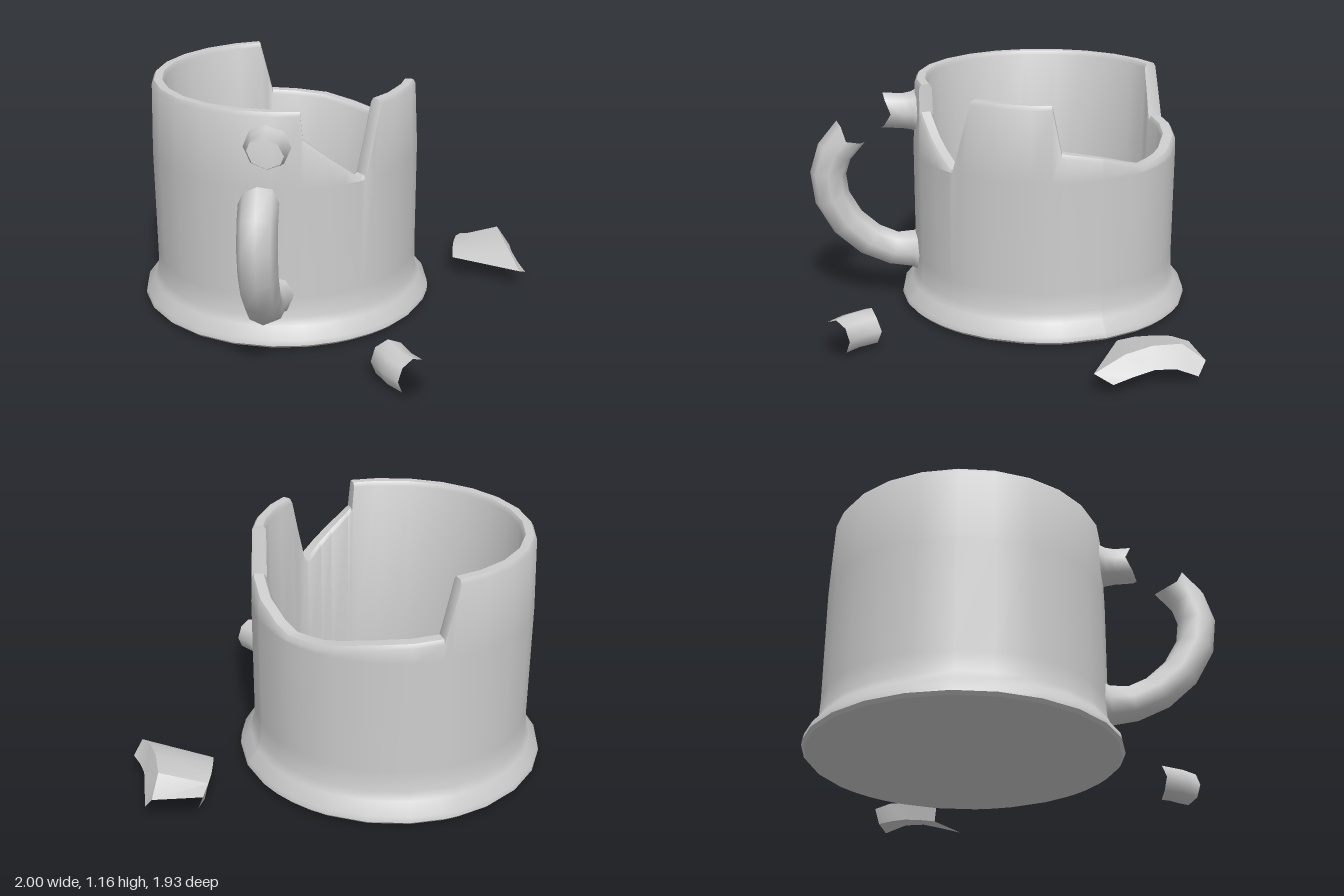
import * as THREE from 'three';
import { toCreasedNormals } from 'three/addons/utils/BufferGeometryUtils.js';

const V = (x, y, z) => new THREE.Vector3(x, y, z);
const CX = -0.26, CZ = -0.22;

// Skins closed rings of points; either joins last to first, or caps both ends.
function loft(rings, { loop = false, dents = [0, 0], crease = 0.6 } = {}) {
  const n = rings[0].length, m = rings.length, tris = [];
  for (let i = 0; i < (loop ? m : m - 1); i++) {
    const a = rings[i], b = rings[(i + 1) % m];
    for (let k = 0; k < n; k++) {
      const l = (k + 1) % n;
      tris.push([a[k], b[k], b[l]], [a[k], b[l], a[l]]);
    }
  }
  if (!loop) {
    const centre = (r) => r.reduce((s, p) => s.add(p), V(0, 0, 0)).divideScalar(n);
    [[0, 1], [m - 1, m - 2]].forEach(([e, inner], side) => {
      const c = centre(rings[e]);
      c.add(centre(rings[inner]).sub(c).setLength(dents[side]));
      for (let k = 0; k < n; k++) {
        const p = rings[e][k], q = rings[e][(k + 1) % n];
        tris.push(side ? [c, p, q] : [c, q, p]);
      }
    });
  }
  // turn the skin outward if it came out inside out
  const volume = tris.reduce((s, [a, b, c]) => s + a.dot(b.clone().cross(c)), 0);
  const pts = tris.flatMap((t) => (volume > 0 ? t : [t[0], t[2], t[1]]));
  const geo = new THREE.BufferGeometry().setFromPoints(pts);
  return toCreasedNormals(geo, crease);
}

// Round bar through [x, y, z, radius] stations lying in the plane with the given normal.
function bar(stations, normal, jag, dents) {
  const c = stations.map(([x, y, z]) => V(x, y, z)), last = c.length - 1;
  const rings = stations.map(([, , , r], i) => {
    const t = c[Math.min(i + 1, last)].clone().sub(c[Math.max(i - 1, 0)]).normalize();
    const side = t.clone().cross(normal);
    return jag.map((j, k) => {
      const a = (k / jag.length) * Math.PI * 2;
      return c[i].clone().addScaledVector(normal, r * Math.cos(a))
        .addScaledVector(side, r * Math.sin(a)).addScaledVector(t, i === last ? j : 0);
    });
  });
  return loft(rings, { dents, crease: 0.9 });
}

// Broken rim: [degrees from the front towards +x, height]
const RIM = [[0, 1.165], [12, 1.165], [13, 1.03], [24, 0.93], [38, 0.81], [40, 0.82], [49, 1.165],
  [84, 1.165], [88, 0.94], [106, 0.9], [128, 0.83], [143, 0.84], [165, 0.88], [192, 0.9],
  [198, 1.165], [360, 1.165]];

function rimHeight(a) {
  const i = RIM.findIndex((p, k) => k > 0 && a <= p[0]);
  const [a0, h0] = RIM[i - 1], [a1, h1] = RIM[i];
  return h0 + ((h1 - h0) * (a - a0)) / (a1 - a0);
}

function mugGeometry() {
  const angles = new Set(RIM.map((p) => p[0] % 360));
  for (let a = 0; a < 360; a += 15) angles.add(a);
  const rings = [...angles].sort((p, q) => p - q).map((a) => {
    const h = rimHeight(a), s = Math.sin((a * Math.PI) / 180), c = Math.cos((a * Math.PI) / 180);
    const R = 0.667 - 0.012 * Math.max(0, (h - 0.8) / 0.365);
    // outside from the foot up, over the lip, down to the inner floor
    const profile = [[0, 0.015], [0.725, 0.015], [0.74, 0.03], [0.735, 0.055], [0.69, 0.11],
      [0.672, 0.15], [0.667, 0.25], [0.667, 0.8], [R, h - 0.02], [R - 0.012, h],
      [0.603, h], [0.59, h - 0.02], [0.585, 0.12], [0, 0.12]];
    return profile.map(([r, y]) => V(CX + r * s, Math.min(y, h), CZ + r * c));
  });
  return loft(rings, { loop: true, crease: 0.75 });
}

// Curved piece of wall: four edges, each running along the arch
function shardGeometry() {
  const edges = [
    [[0.615, 0.09, -0.43], [0.617, 0.105, -0.51], [0.625, 0.11, -0.6], [0.64, 0.11, -0.68], [0.665, 0.09, -0.76]],
    [[0.96, 0.1, -0.25], [0.91, 0.16, -0.4], [0.88, 0.18, -0.53], [0.865, 0.175, -0.67], [0.895, 0.1, -0.775]],
    [[1.0, 0.06, -0.33], [0.965, 0.075, -0.43], [0.94, 0.09, -0.53], [0.935, 0.085, -0.63], [0.93, 0.04, -0.735]],
    [[0.64, 0.01, -0.44], [0.645, 0.02, -0.52], [0.65, 0.025, -0.6], [0.66, 0.02, -0.67], [0.69, 0.015, -0.74]],
  ];
  const rings = edges[0].map((_, i) => edges.map((e) => V(...e[i])));
  return loft(rings, { crease: 0.55 });
}

export function createModel() {
  const group = new THREE.Group();
  const material = new THREE.MeshStandardMaterial({ color: 0xcccccc });
  const add = (name, geometry) => {
    const mesh = new THREE.Mesh(geometry, material);
    mesh.name = name;
    group.add(mesh);
  };
  const X = V(1, 0, 0), Y = V(0, 1, 0), hx = -0.275;

  add('mugBody', mugGeometry());

  // lower part of the snapped handle, flaring into the wall
  add('lowerHandle', bar([
    [hx, 0.26, 0.41, 0.13], [hx, 0.263, 0.46, 0.1], [hx, 0.27, 0.56, 0.09], [hx, 0.325, 0.68, 0.09],
    [hx, 0.425, 0.79, 0.09], [hx, 0.56, 0.865, 0.09], [hx, 0.69, 0.88, 0.09], [hx, 0.8, 0.845, 0.09],
    [hx, 0.895, 0.765, 0.09],
  ], X, [-0.03, 0.0, 0.01, -0.02, -0.04, -0.01, 0.01, 0.01], [0, 0.04]));

  // upper stump of the handle
  add('upperHandleStump', bar([
    [hx, 1.0, 0.41, 0.12], [hx, 1.0, 0.455, 0.098], [hx, 1.0, 0.5, 0.09], [hx, 1.005, 0.58, 0.09],
  ], X, [-0.02, 0.01, 0.02, 0, -0.03, 0, 0.02, 0.01], [0, 0.03]));

  // handle piece lying on the ground
  add('handleFragment', bar([
    [0.405, 0.09, 0.865, 0.086], [0.345, 0.09, 0.8, 0.088], [0.295, 0.09, 0.705, 0.09],
  ], Y, [0.01, 0, 0.01, 0.0, -0.02, 0, 0.0, 0.01], [0, -0.02]));

  add('wallFragment', shardGeometry());
  return group;
}
